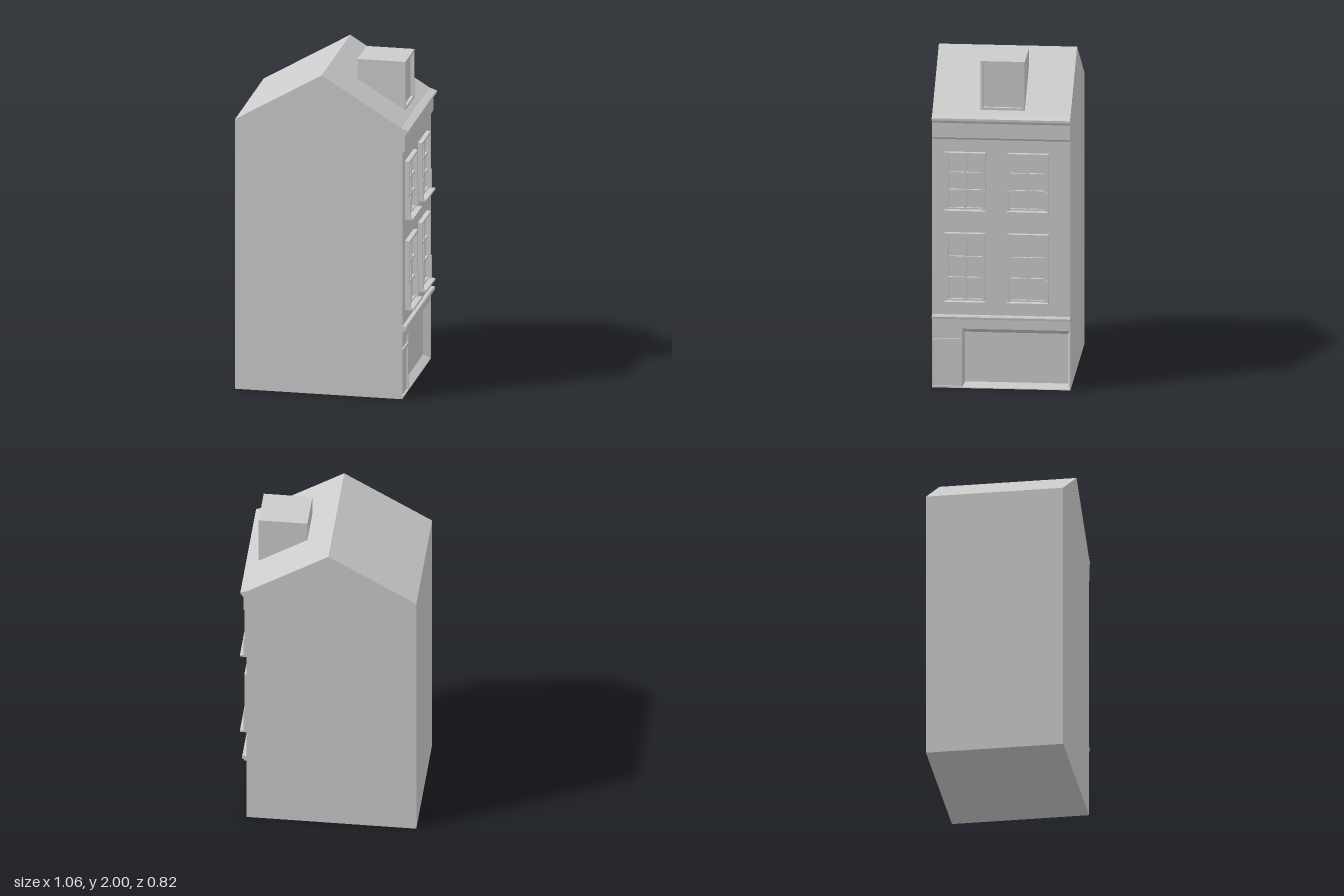
import * as THREE from 'three';

const mat = new THREE.MeshStandardMaterial({ color: 0xcccccc, side: THREE.DoubleSide, flatShading: true });
const HALF = 0.41;   // half the facade width
const WALL = 0.475;  // facade plane
const BACK = 0.43;   // plane behind the facade wall

function add(parent, name, geometry) {
  const mesh = new THREE.Mesh(geometry, mat);
  mesh.name = name;
  parent.add(mesh);
  return mesh;
}

const polygon = (pts) => new THREE.Shape(pts.map(([x, y]) => new THREE.Vector2(x, y)));
const rect = (u0, y0, u1, y1) => [[u0, y0], [u1, y0], [u1, y1], [u0, y1]];
const inset = ([u0, y0, u1, y1], t) => [u0 + t, y0 + t, u1 - t, y1 - t];

// Profile in x/y swept over the full depth of the house
function sweep(pts) {
  const g = new THREE.ExtrudeGeometry(polygon(pts), { depth: HALF * 2, bevelEnabled: false });
  return g.translate(0, 0, -HALF);
}

// Flat panel with rectangular holes, from depth d0 to d1
function panel(outer, holes, d0, d1) {
  const shape = polygon(rect(...outer));
  holes.forEach((h) => shape.holes.push(polygon(rect(...h))));
  return new THREE.ExtrudeGeometry(shape, { depth: d1 - d0, bevelEnabled: false }).translate(0, 0, d0);
}

function box(u0, y0, u1, y1, d0, d1) {
  return new THREE.BoxGeometry(u1 - u0, y1 - y0, d1 - d0)
    .translate((u0 + u1) / 2, (y0 + y1) / 2, (d0 + d1) / 2);
}

// Four sloping sides joining an outer rectangle to a deeper inner one
function splay(outer, inner, dOuter, dInner) {
  const a = rect(...outer), b = rect(...inner), pos = [];
  for (let i = 0; i < 4; i++) {
    const j = (i + 1) % 4;
    const [p, q, r, s] = [[...a[i], dOuter], [...a[j], dOuter], [...b[j], dInner], [...b[i], dInner]];
    pos.push(...p, ...q, ...r, ...p, ...r, ...s);
  }
  const g = new THREE.BufferGeometry();
  g.setAttribute('position', new THREE.Float32BufferAttribute(pos, 3));
  g.computeVertexNormals();
  return g;
}

// Sash window, two panes wide and three high, with a projecting sill
function makeWindow(u, y0, y1) {
  const w = new THREE.Group();
  w.name = 'window';
  const outer = [u - 0.122, y0, u + 0.122, y1];
  const opening = inset(outer, 0.013), glass = inset(outer, 0.022);
  const row = (glass[3] - glass[1]) / 3;
  add(w, 'windowFrame', panel(outer, [opening], WALL, 0.503));
  add(w, 'sash', panel(opening, [glass], WALL, 0.492));
  // Lower third stands slightly further out
  for (const s of [-1, 1]) {
    const a = u + s * 0.122, b = u + s * 0.109;
    add(w, 'lowerFrameSide', box(Math.min(a, b), y0, Math.max(a, b), y0 + (y1 - y0) / 3 + 0.01, WALL, 0.508));
  }
  add(w, 'verticalBar', box(u - 0.006, glass[1], u + 0.006, glass[3], WALL, 0.49));
  for (let i = 1; i < 3; i++) {
    const y = glass[1] + row * i;
    add(w, 'crossBar', box(glass[0], y - 0.006, glass[2], y + 0.006, WALL, 0.49));
  }
  add(w, 'sill', box(u - 0.123, y0, u + 0.123, y0 + 0.013, WALL, 0.529));
  return w;
}

export function createModel() {
  const house = new THREE.Group();
  house.name = 'townHouse';

  // Gabled body, notched to receive the facade wall
  add(house, 'body', sweep([
    [-0.535, 0], [BACK, 0], [BACK, 1.5], [WALL, 1.5], [WALL, 1.675], [-0.012, 1.975], [-0.535, 1.67],
  ]));

  // Cornice with frieze, and the string course above the shop
  add(house, 'cornice', sweep([
    [0.46, 1.53], [0.482, 1.53], [0.492, 1.542], [0.492, 1.632], [0.5, 1.64],
    [0.503, 1.65], [0.512, 1.652], [0.512, 1.664], [WALL, 1.677], [0.46, 1.68],
  ]));
  add(house, 'stringCourse', sweep([
    [0.46, 0.418], [0.49, 0.418], [0.49, 0.427], [0.5, 0.43], [0.502, 0.442], [0.497, 0.45], [0.46, 0.452],
  ]));

  // Everything in this group is drawn facing +z, then turned to face +x
  const facade = new THREE.Group();
  facade.name = 'facade';
  facade.rotation.y = Math.PI / 2;
  house.add(facade);

  const shop = [-0.233, 0.004, 0.404, 0.365];
  const shopGlass = [-0.217, 0.03, 0.393, 0.335];
  const door = [-0.404, 0.01, -0.24, 0.278];
  const transom = [-0.404, 0.3, -0.236, 0.354];
  add(facade, 'facadeWall', panel([-HALF, 0, HALF, 1.5], [shop, door, transom], BACK, WALL));

  // Shop window with splayed reveals
  add(facade, 'shopReveal', splay(shop, shopGlass, WALL, BACK + 0.002));
  add(facade, 'shopGlass', box(...shopGlass, BACK, BACK + 0.002));

  // Door and the light over it
  add(facade, 'door', box(...door, BACK, 0.465));
  add(facade, 'transomLight', box(...transom, BACK, 0.465));

  for (const u of [-0.213, 0.159]) {
    for (const [y0, y1] of [[0.53, 0.957], [1.09, 1.452]]) facade.add(makeWindow(u, y0, y1));
  }

  // Flat-topped dormer with a framed window
  const dormer = new THREE.Group();
  dormer.name = 'dormer';
  facade.add(dormer);
  const face = [-0.126, 1.697, 0.136, 2];
  add(dormer, 'dormerBody', box(...face, 0.144, 0.415));
  add(dormer, 'dormerFrame', panel(face, [inset(face, 0.018)], 0.415, 0.434));

  return house;
}
